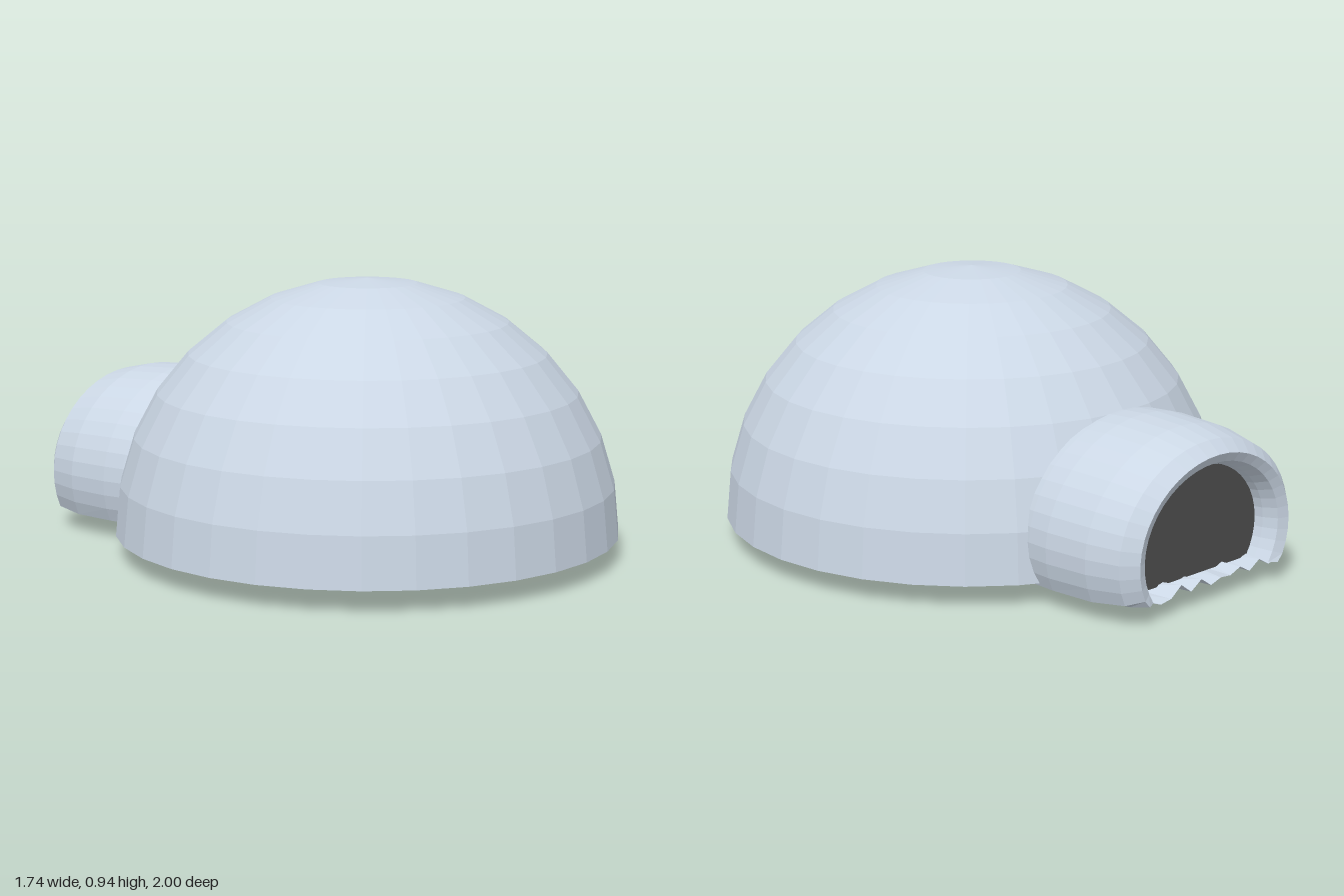
import * as THREE from 'three';

const snow = new THREE.MeshStandardMaterial({ color: 0xcbd7e5, flatShading: true, side: THREE.DoubleSide });
snow.name = 'snow';
const dark = new THREE.MeshStandardMaterial({ color: 0x4e4e4e, side: THREE.DoubleSide });
dark.name = 'dark opening';

const BASE = 0.075, DOME_R = 0.868, DOME_Z = 0.132;
const TUNNEL_Y = 0.2, SQUASH = 0.815; // tunnel axis height, height-to-width ratio

// Repeatable 0..1 noise from a position, so shared corners stay joined
const noise = (a, b, k) => {
  const s = Math.sin(Math.round(a * 100) * 12.99 + Math.round(b * 100) * 78.23 + k * 37.7) * 43758.55;
  return s - Math.floor(s);
};

// Move every vertex of a geometry by a rule
function reshape(geometry, rule) {
  const p = geometry.attributes.position;
  for (let i = 0; i < p.count; i++) p.setXYZ(i, ...rule(p.getX(i), p.getY(i), p.getZ(i)));
  geometry.computeVertexNormals();
  return geometry;
}

export function createModel() {
  const model = new THREE.Group();
  model.name = 'igloo';
  const add = (name, geometry, material = snow) => {
    const mesh = new THREE.Mesh(geometry, material);
    mesh.name = name;
    model.add(mesh);
    return mesh;
  };

  // Half-sphere dome
  add('dome', new THREE.SphereGeometry(DOME_R, 32, 8, 0, Math.PI * 2, 0, Math.PI / 2))
    .position.set(0, BASE, DOME_Z);

  // Oval barrel entrance: outer wall, rounded lip and inner wall, cut flat at the ground
  const profile = [[0.435, 0.5], [0.447, 0.6], [0.452, 0.68], [0.441, 0.84], [0.41, 0.955],
    [0.362, 1], [0.325, 0.985], [0.302, 0.94], [0.295, 0.9]].map(([r, z]) => new THREE.Vector2(r, z));
  const arc = THREE.MathUtils.degToRad(120);
  const barrel = new THREE.LatheGeometry(profile, 30, -arc, arc * 2).rotateX(-Math.PI / 2);
  reshape(barrel, (x, y, z) => [x, Math.max(y * SQUASH, BASE - 0.01 - TUNNEL_Y), z]);
  add('entranceTunnel', barrel).position.y = TUNNEL_Y;

  // Dark doorway set back inside the lip
  const door = new THREE.Shape();
  door.absellipse(0, 0, 0.3, 0.3 * SQUASH, -0.53, Math.PI + 0.53, false);
  add('doorway', new THREE.ShapeGeometry(door, 24), dark).position.set(0, TUNNEL_Y, -0.91);

  // Jagged ice underside of the dome
  const floor = new THREE.RingGeometry(0.001, 0.86, 24, 6).rotateX(Math.PI / 2);
  reshape(floor, (x, y, z) => {
    const r = Math.hypot(x, z);
    if (r > 0.8) return [x, BASE, z];
    const h = (r < 0.42 ? 0.055 : 0.09) + 0.36 * noise(x, z, 1) ** 1.5;
    return [x + (noise(x, z, 2) - 0.5) * 0.12, h, z + (noise(x, z, 3) - 0.5) * 0.12];
  });
  add('domeUnderside', floor).position.z = DOME_Z;

  // Long splinters of ice lying at all angles inside the dome
  for (let i = 0; i < 36; i++) {
    const angle = i * 2.4, r = 0.12 + 0.5 * Math.sqrt(i / 36);
    const length = 0.2 + 0.15 * noise(i, 0, 5);
    const splinter = add('iceSplinter', new THREE.ConeGeometry(0.07, length, 3));
    splinter.scale.z = 0.35;
    splinter.rotation.set(0.6 + 1.2 * noise(i, 1, 6), angle, 0, 'YXZ');
    splinter.position.set(Math.sin(angle) * r, 0.22 + 0.1 * noise(i, 2, 7), DOME_Z + Math.cos(angle) * r);
  }

  // Jagged ice floor of the tunnel, narrowing toward the lip
  const path = new THREE.PlaneGeometry(0.8, 0.58, 14, 3).rotateX(Math.PI / 2);
  reshape(path, (x, y, z) => {
    const taper = z < -0.2 ? 0.84 : 1;
    return [x * taper, Math.abs(x) > 0.35 ? 0.07 : 0.05 + 0.045 * noise(x, z, 4), z];
  });
  add('tunnelFloor', path).position.z = -0.69;

  // Small ice shards hanging below: x, z, tip height, radius
  const shards = [[-0.3, -0.72, 0, 0.06], [0.16, -0.62, 0.02, 0.06],
    [0.26, -0.48, 0.03, 0.06], [-0.3, -0.9, 0.05, 0.05]];
  for (const [x, z, tip, radius] of shards) {
    const h = 0.09 - tip;
    const mesh = add('iceShard', new THREE.ConeGeometry(radius, h, 3).rotateX(Math.PI));
    mesh.position.set(x, tip + h / 2, z);
    mesh.scale.z = 1.6;
  }
  return model;
}
